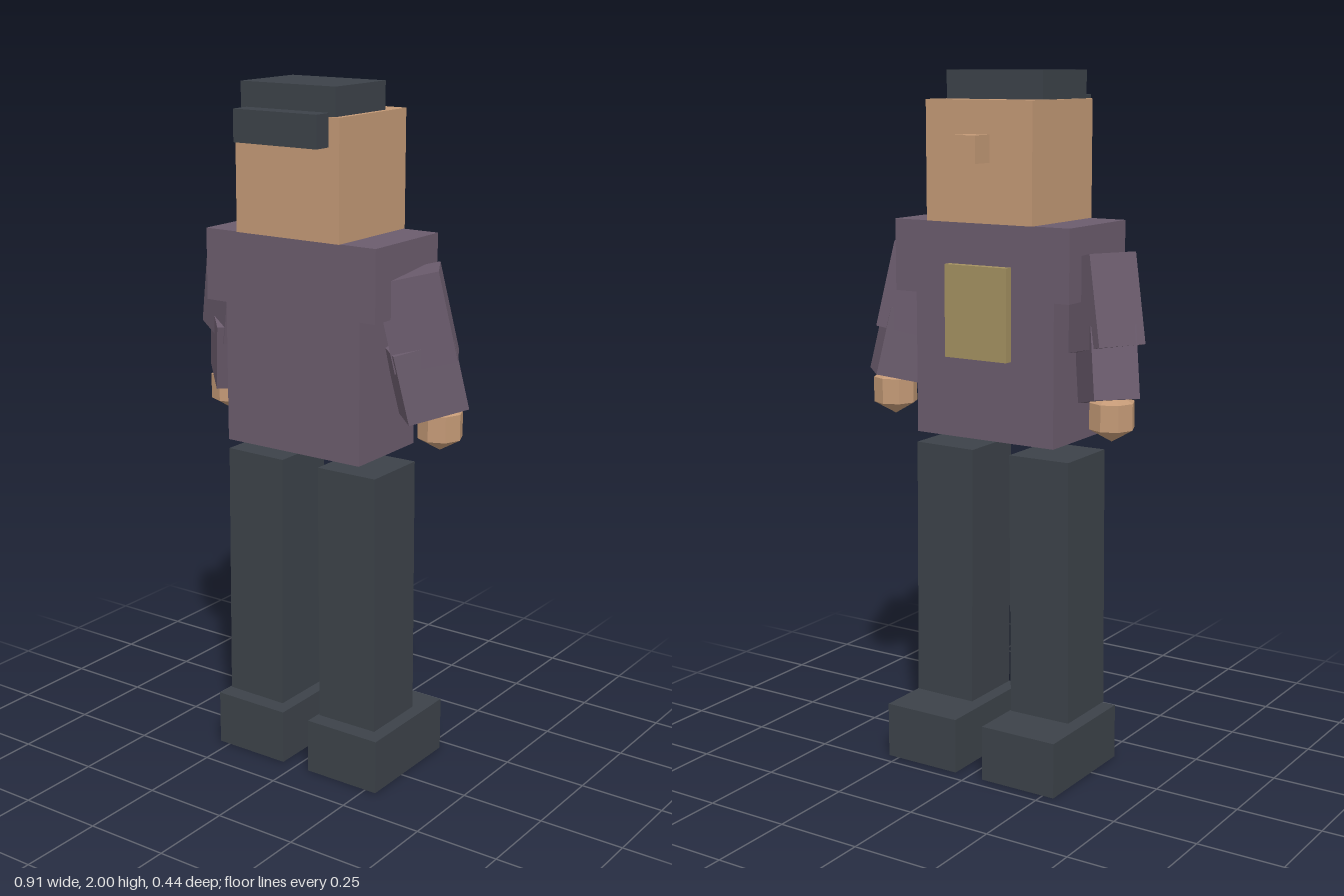
import * as THREE from 'three';

const material = (name, color) => {
  const m = new THREE.MeshStandardMaterial({ color });
  m.name = name;
  return m;
};

export function createModel() {
  const model = new THREE.Group();
  model.name = 'blockFigure';

  const charcoal = material('charcoal', 0x3c4249);
  const purple = material('dustyPurple', 0x6b5c6d);
  const skin = material('skin', 0xc39976);
  const brass = material('brass', 0xa39060);

  const add = (name, geometry, mat) => {
    const mesh = new THREE.Mesh(geometry, mat);
    mesh.name = name;
    model.add(mesh);
    return mesh;
  };

  // Axis-aligned block given by its extents
  const block = (name, mat, [x0, x1], [y0, y1], [z0, z1]) => {
    const mesh = add(name, new THREE.BoxGeometry(x1 - x0, y1 - y0, z1 - z0), mat);
    mesh.position.set((x0 + x1) / 2, (y0 + y1) / 2, (z0 + z1) / 2);
    return mesh;
  };

  // Head; the face looks toward -z
  block('head', skin, [-0.172, 0.172], [1.59, 1.922], [-0.152, 0.167]);
  block('nose', skin, [-0.036, 0.036], [1.755, 1.83], [-0.221, -0.15]);
  block('hairTop', charcoal, [-0.156, 0.156], [1.918, 2], [-0.073, 0.161]);
  block('hairBack', charcoal, [-0.137, 0.137], [1.843, 1.932], [0.155, 0.22]);

  // Body
  block('shoulders', purple, [-0.285, 0.285], [1.387, 1.59], [-0.146, 0.161]);
  block('torso', purple, [-0.227, 0.227], [0.98, 1.4], [-0.128, 0.148]);
  block('chestPlate', brass, [-0.101, 0.101], [1.215, 1.475], [-0.171, -0.145]);

  // Arm block: yawed by `yaw`, leaning outward by `lean`;
  // u runs outward and v sideways in the yawed frame
  const armBlock = (name, side, size, yaw, lean, u, v, y) => {
    const mesh = add(name, new THREE.BoxGeometry(...size), purple);
    const c = Math.cos(yaw), s = Math.sin(yaw);
    mesh.position.set(side * (u * c + v * s), y, v * c - u * s);
    mesh.rotation.set(0, side * yaw, side * lean, 'YXZ');
  };

  for (const [side, label] of [[1, 'left'], [-1, 'right']]) {
    armBlock(label + 'UpperArm', side, [0.174, 0.252, 0.145], Math.PI / 6, 0.225, 0.273, 0.1445, 1.379);
    armBlock(label + 'Forearm', side, [0.172, 0.2, 0.128], Math.PI / 4, 0.23, 0.251, 0.22, 1.212);

    const handGeometry = new THREE.SphereGeometry(0.074, 8, 3).toNonIndexed();
    handGeometry.computeVertexNormals();
    const hand = add(label + 'Hand', handGeometry, skin);
    hand.position.set(side * 0.365, 1.079, -0.047);

    // Legs splay very slightly toward the feet
    const leg = block(label + 'Leg', charcoal, [0.065, 0.258], [0.176, 0.938], [-0.093, 0.111]);
    leg.position.x *= side;
    leg.rotation.z = side * 0.008;

    const shoe = block(label + 'Shoe', charcoal, [0.046, 0.285], [0, 0.162], [-0.213, 0.139]);
    shoe.position.x *= side;
  }

  return model;
}
